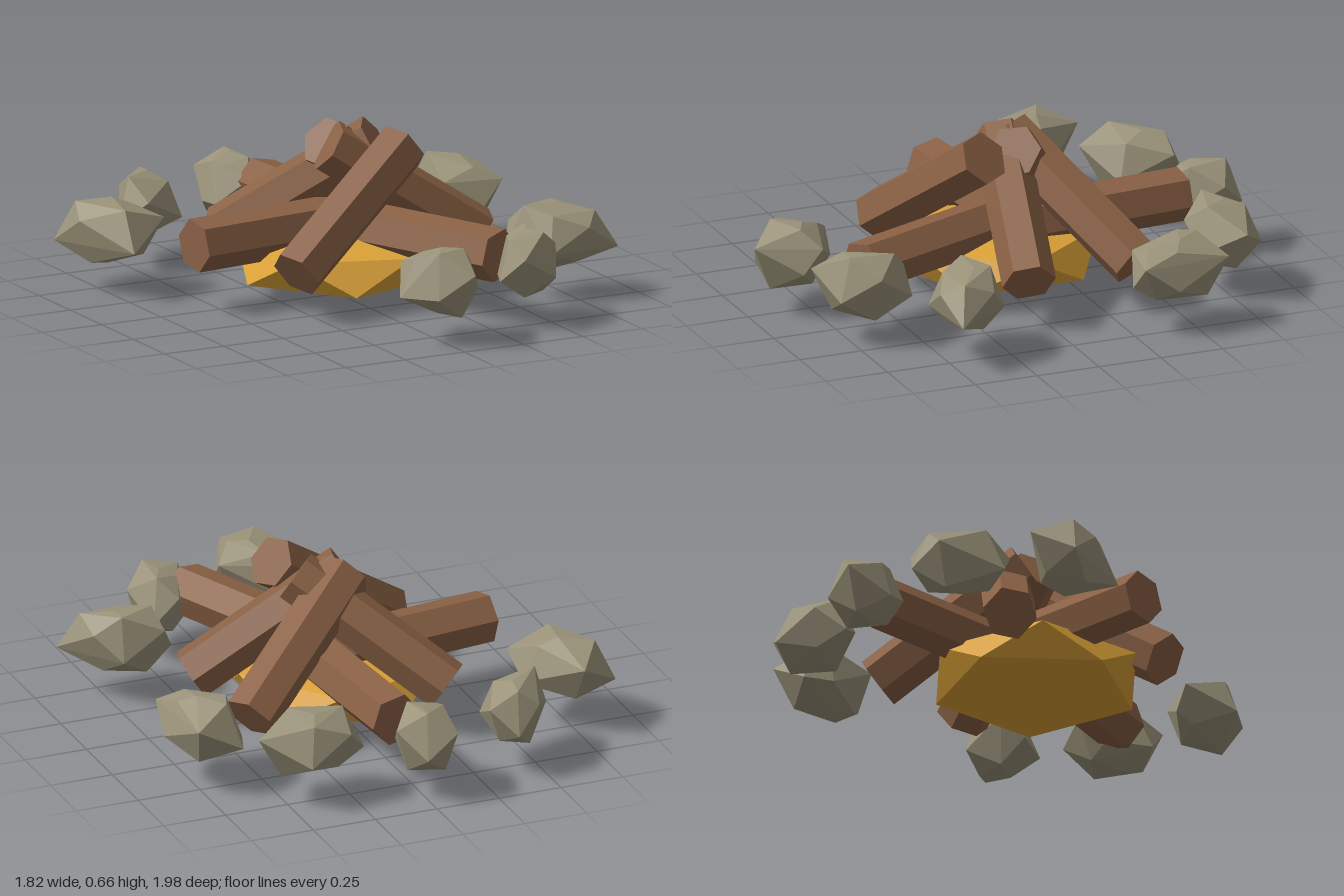
import * as THREE from 'three';
import { ConvexGeometry } from 'three/addons/geometries/ConvexGeometry.js';

const material = (name, color) => {
  const m = new THREE.MeshStandardMaterial({ color });
  m.name = name;
  return m;
};

// Hexagonal log between its outer and inner end; lean is the roll of its top face to the right
function logGeometry(outer, inner, lean) {
  const a = new THREE.Vector3(...outer), b = new THREE.Vector3(...inner);
  const dir = a.clone().sub(b);
  const g = new THREE.CylinderGeometry(0.102, 0.102, dir.length(), 6);
  g.rotateY(-Math.PI / 6 + lean);
  dir.normalize();
  const right = new THREE.Vector3().crossVectors(dir, new THREE.Vector3(0, 1, 0)).normalize();
  const up = new THREE.Vector3().crossVectors(right, dir);
  const m = new THREE.Matrix4().makeBasis(right, dir, up);
  m.setPosition(a.add(b).multiplyScalar(0.5));
  g.applyMatrix4(m);
  const flat = g.toNonIndexed();
  flat.computeVertexNormals();
  return flat;
}

// Faceted stone: a zigzag girdle along its plan outline, with smaller rings above and below
function stoneGeometry(outline, seed) {
  const n = outline.length;
  const cx = outline.reduce((s, p) => s + p[0], 0) / n;
  const cz = outline.reduce((s, p) => s + p[1], 0) / n;
  const points = [];
  outline.forEach(([x, z], i) => {
    const wave = Math.sin(i * 2.4 + seed * 1.7);
    points.push(new THREE.Vector3(x, 0.235 + (i % 2 ? 0.05 : -0.045), z));
    const ring = (k, y) => points.push(new THREE.Vector3(cx + (x - cx) * k, y, cz + (z - cz) * k));
    if (i % 2 === 0) ring(0.62, 0.342 + 0.018 * wave);
    else ring(0.62, 0.128 + 0.018 * wave);
  });
  points.push(new THREE.Vector3(cx + 0.02, 0.355, cz - 0.02), new THREE.Vector3(cx - 0.02, 0.115, cz + 0.02));
  return new ConvexGeometry(points);
}

// Ember bed: a squashed twenty-sided solid standing on one corner
function emberGeometry() {
  const points = [new THREE.Vector3(0, 0, 0), new THREE.Vector3(0, 0.28, 0)];
  for (let i = 0; i < 5; i++) {
    const a = (i * 2 * Math.PI) / 5;
    const x = 0.385 * Math.cos(a), z = 0.385 * Math.sin(a);
    points.push(new THREE.Vector3(-x, 0.078, z), new THREE.Vector3(x, 0.202, z));
  }
  return new ConvexGeometry(points);
}

export function createModel() {
  const model = new THREE.Group();
  model.name = 'campfire';
  const wood = material('wood brown', 0x8a6145);
  const rock = material('stone grey', 0x9a9279);
  const ember = material('ember yellow', 0xdca237);

  const add = (name, geometry, mat) => {
    const mesh = new THREE.Mesh(geometry, mat);
    mesh.name = name;
    model.add(mesh);
  };

  add('emberBed', emberGeometry(), ember);

  // Logs lying flat
  const t = 0.2;
  const flatLogs = [
    [[0.05, 0.26, -0.73], [0.11, 0.26, -0.02], t],
    [[-0.615, 0.26, 0.01], [0.09, 0.26, -0.08], -t],
    [[0.32, 0.26, 0.675], [0.05, 0.26, 0.02], t],
  ];
  flatLogs.forEach(([o, i, l]) => add('flatLog', logGeometry(o, i, l), wood));

  // Logs leaning together at the middle
  const leaningLogs = [
    [[0.54, 0.19, 0.09], [-0.03, 0.57, -0.03], t],
    [[0.49, 0.19, -0.36], [-0.02, 0.57, -0.06], t],
    [[-0.355, 0.19, 0.33], [0.2, 0.575, 0.13], -t],
    [[-0.3, 0.19, -0.375], [0.16, 0.57, -0.01], -t],
  ];
  leaningLogs.forEach(([o, i, l]) => add('leaningLog', logGeometry(o, i, l), wood));

  // Ring of stones, each given by its plan outline (x, z)
  const stones = [
    [[-0.905, -0.56], [-0.745, -0.645], [-0.575, -0.455], [-0.555, -0.34], [-0.745, -0.22], [-0.865, -0.43]],
    [[-0.59, -0.64], [-0.47, -0.86], [-0.37, -0.91], [-0.28, -0.84], [-0.32, -0.64], [-0.51, -0.55]],
    [[-0.14, -0.82], [-0.09, -0.985], [0.03, -0.985], [0.115, -0.88], [0.06, -0.735], [-0.02, -0.68], [-0.125, -0.745]],
    [[0.195, -0.76], [0.28, -0.84], [0.455, -0.885], [0.62, -0.76], [0.51, -0.62], [0.375, -0.605], [0.2, -0.71]],
    [[0.62, -0.61], [0.8, -0.61], [0.85, -0.39], [0.83, -0.26], [0.745, -0.245], [0.6, -0.3], [0.58, -0.5]],
    [[0.505, 0.365], [0.56, 0.295], [0.735, 0.27], [0.825, 0.35], [0.91, 0.51], [0.77, 0.545], [0.615, 0.53]],
    [[0.335, 0.62], [0.4, 0.54], [0.5, 0.545], [0.55, 0.69], [0.48, 0.825], [0.32, 0.88], [0.265, 0.785]],
    [[-0.18, 0.825], [-0.085, 0.655], [-0.03, 0.655], [0.15, 0.76], [0.145, 0.835], [0.05, 0.995], [-0.075, 0.94]],
  ];
  stones.forEach((outline, i) => add('stone', stoneGeometry(outline, i), rock));

  return model;
}
